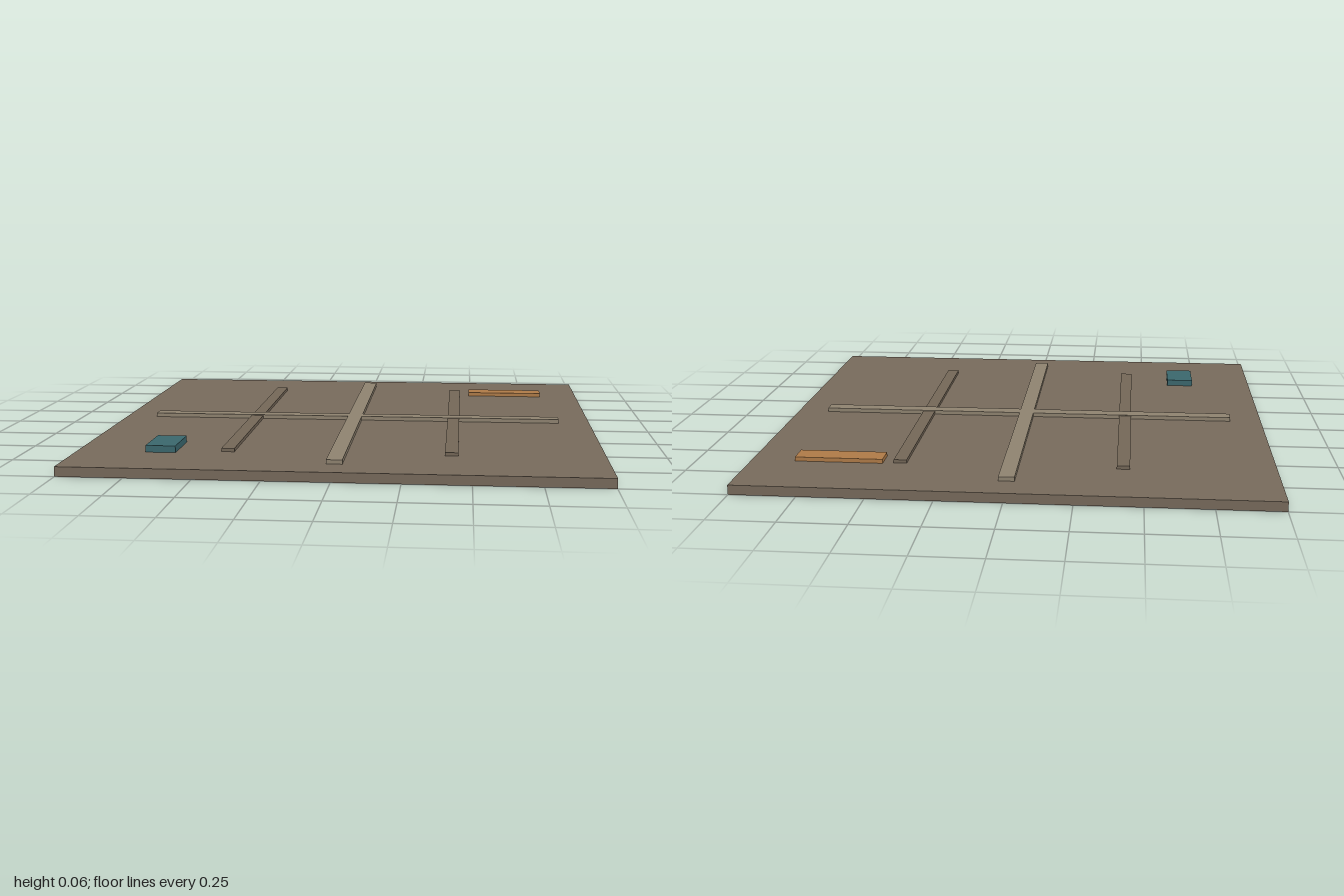
import * as THREE from 'three';

const TOP = 0.037; // upper face of the base plate

export function createModel() {
  const model = new THREE.Group();
  const paint = (color) => new THREE.MeshStandardMaterial({ color });
  const earth = paint(0x786b5c);
  const strip = paint(0x756858);
  const sand = paint(0x908471);
  const teal = paint(0x3b686e);
  const orange = paint(0xb07c48);

  // Box given by its footprint centre, bottom and top heights
  function slab(name, material, [w, d], [x, z], y0, y1) {
    const mesh = new THREE.Mesh(new THREE.BoxGeometry(w, y1 - y0, d), material);
    mesh.position.set(x, (y0 + y1) / 2, z);
    mesh.name = name;
    model.add(mesh);
  }

  // Ground plate
  slab('basePlate', earth, [2, 2], [0, 0], 0, TOP);

  // Main crossing paths
  slab('crossPathLong', sand, [0.06, 1.74], [0, 0], TOP, 0.053);
  slab('crossPathWide', sand, [1.74, 0.06], [0, 0], TOP, 0.053);

  // Narrow strips on either side
  for (const side of [-1, 1]) {
    slab(side > 0 ? 'leftStrip' : 'rightStrip', strip, [0.05, 1.4], [side * 0.424, 0], TOP, 0.05);
  }

  // Coloured marker blocks
  slab('tealBlock', teal, [0.115, 0.19], [-0.676, 0.64], TOP, 0.063);
  slab('orangeBlock', orange, [0.34, 0.09], [0.66, -0.665], TOP, 0.053);

  return model;
}
